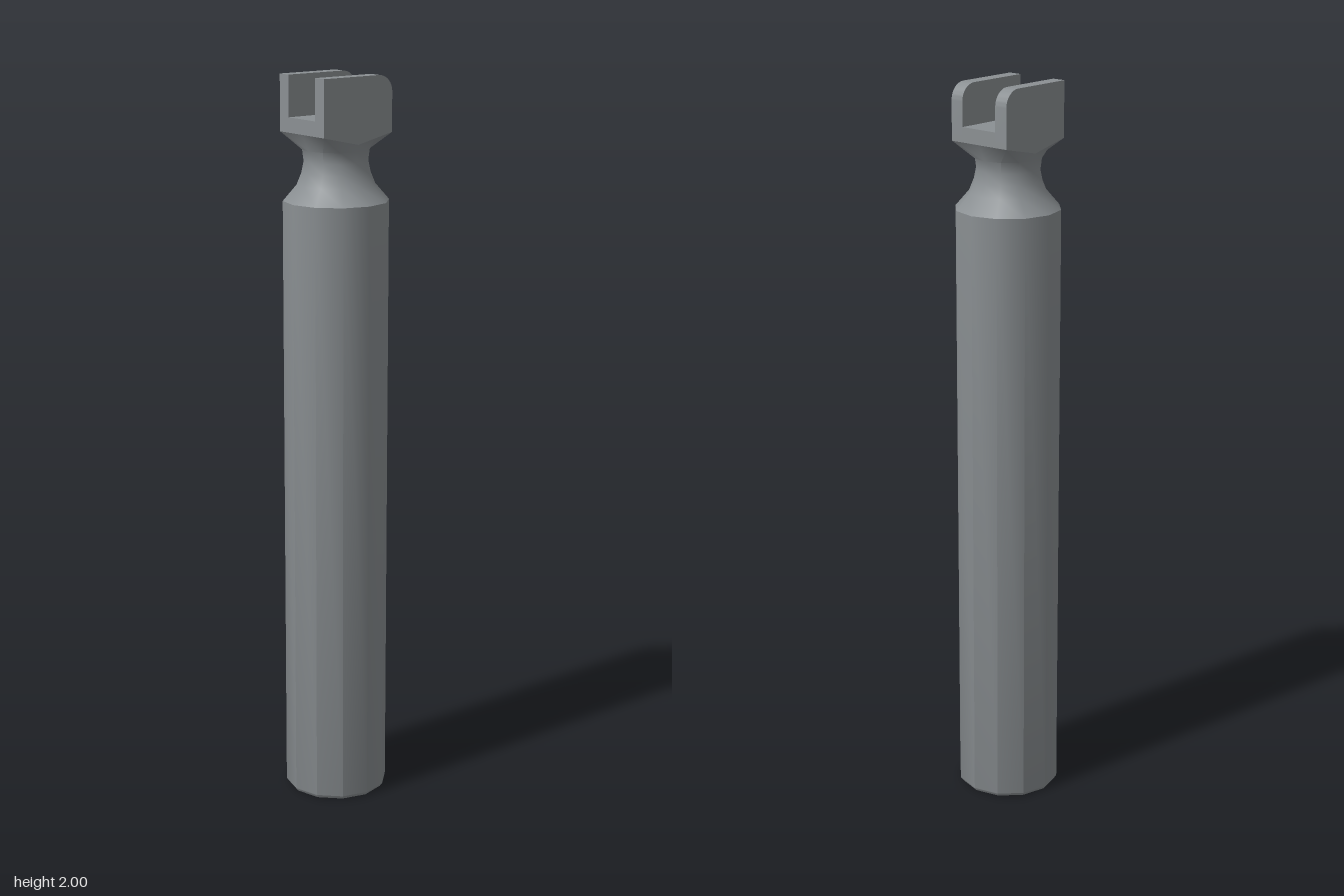
import * as THREE from 'three';
import { toCreasedNormals } from 'three/addons/utils/BufferGeometryUtils.js';

const SIDES = 12;
const HALF_X = 0.112, HALF_Z = 0.095, SLOT_Z = 0.057;
const HEAD_Y = 1.85, DIP_Y = 1.825, FLOOR_Y = 1.89, TOP_Y = 2;

function lathe(profile) {
  return new THREE.LatheGeometry(profile.map(([r, y]) => new THREE.Vector2(r, y)), SIDES);
}

export function createModel() {
  const group = new THREE.Group();
  const steel = new THREE.MeshStandardMaterial({ color: 0x8b9093 });
  const add = (name, geometry) => {
    const mesh = new THREE.Mesh(geometry, steel);
    mesh.name = name;
    group.add(mesh);
    return mesh;
  };

  // Long twelve-sided shaft with a small bottom bevel
  add('shaft', toCreasedNormals(lathe([
    [0, 0], [0.135, 0], [0.142, 0.01], [0.142, 1.67],
  ]), 0.7));

  // Shoulder and waist; the top ring is squared off to meet the head
  const profile = [
    [0.142, 1.67], [0.105, 1.713], [0.092, 1.745], [0.086, 1.775], [0.09, 1.805], [0.1, HEAD_Y],
  ];
  const neck = lathe(profile);
  const pos = neck.attributes.position;
  for (let i = 0; i <= SIDES; i++) {
    const a = (i / SIDES) * Math.PI * 2;
    const s = Math.sin(a), c = Math.cos(a);
    const x = Math.abs(s) > 0.8 ? Math.sign(s) * HALF_X : Math.abs(s) > 0.1 ? Math.sign(s) * HALF_X / 2 : 0;
    const z = Math.abs(c) > 0.1 ? Math.sign(c) * HALF_Z : 0;
    const y = z === 0 ? HEAD_Y : DIP_Y + (HEAD_Y - DIP_Y) * Math.abs(x) / HALF_X;
    pos.setXYZ(i * profile.length + profile.length - 1, x, y, z);
  }
  add('neck', toCreasedNormals(neck, 0.9));

  // Floor of the slot between the prongs
  const floor = add('slotFloor', new THREE.BoxGeometry(HALF_X * 2, FLOOR_Y - HEAD_Y, SLOT_Z * 2));
  floor.position.y = (FLOOR_Y + HEAD_Y) / 2;

  // Two flat prongs, each with one rounded top corner and a dipped lower edge
  const r = 0.045;
  const outline = new THREE.Shape();
  outline.moveTo(-HALF_X, HEAD_Y);
  outline.lineTo(0, DIP_Y);
  outline.lineTo(HALF_X, HEAD_Y);
  outline.lineTo(HALF_X, TOP_Y - r);
  outline.absarc(HALF_X - r, TOP_Y - r, r, 0, Math.PI / 2, false);
  outline.lineTo(-HALF_X, TOP_Y);
  outline.closePath();
  const prong = toCreasedNormals(new THREE.ExtrudeGeometry(outline, {
    depth: HALF_Z - SLOT_Z, bevelEnabled: false, curveSegments: 6,
  }), 0.5);
  add('frontProng', prong).position.z = SLOT_Z;
  add('backProng', prong).position.z = -HALF_Z;

  return group;
}
